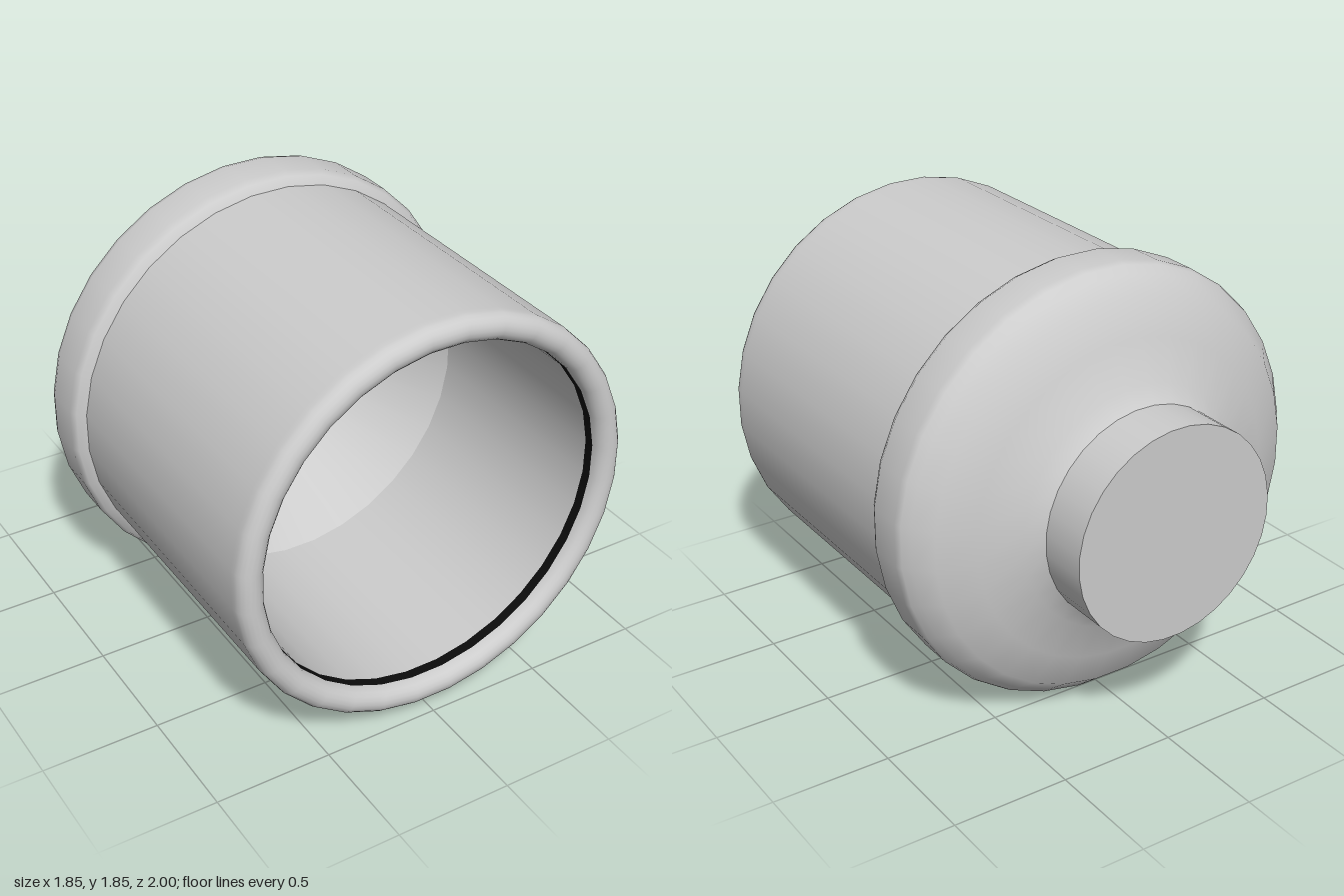
import * as THREE from 'three';

const SEGMENTS = 32;
const CENTRE_Y = 0.925;

export function createModel() {
  const group = new THREE.Group();
  group.name = 'flangedCup';

  const grey = new THREE.MeshStandardMaterial({ color: 0xcccccc });
  grey.name = 'light grey';
  const black = new THREE.MeshStandardMaterial({ color: 0x0c0c0c });
  black.name = 'black';

  // Turn a profile of [radius, z] points, running back to front on outer walls
  const turn = (name, profile, material = grey) => {
    const points = profile.map(([r, z]) => new THREE.Vector2(r, z));
    const geometry = new THREE.LatheGeometry(points, SEGMENTS, Math.PI / SEGMENTS);
    geometry.rotateX(Math.PI / 2);
    const mesh = new THREE.Mesh(geometry, material);
    mesh.name = name;
    mesh.position.y = CENTRE_Y;
    group.add(mesh);
  };

  // Rear neck
  turn('neckEnd', [[0, -1], [0.449, -1]]);
  turn('neckWall', [[0.449, -1], [0.449, -0.78]]);

  // Sloped shoulder running into the rounded flange
  turn('shoulderFlange', [
    [0.449, -0.785], [0.515, -0.73], [0.68, -0.67], [0.83, -0.615],
    [0.89, -0.54], [0.917, -0.51], [0.927, -0.48],
    [0.927, -0.33], [0.912, -0.3], [0.876, -0.28],
  ]);

  // Body wall with a rounded lip rolled over the front
  const body = [[0.876, -0.28], [0.876, 0.92]];
  for (let i = 0; i <= 10; i++) {
    const a = (i / 10) * Math.PI;
    body.push([0.819 + 0.057 * Math.cos(a), 0.942 + 0.058 * Math.sin(a)]);
  }
  turn('bodyAndLip', body);

  // Hollow inside: dark band, straight bore, funnel and floor
  turn('innerBand', [[0.762, 0.942], [0.762, 0.9]], black);
  turn('bore', [[0.762, 0.9], [0.762, -0.05]]);
  turn('funnel', [[0.762, -0.05], [0.449, -0.6]]);
  turn('floor', [[0.449, -0.6], [0, -0.6]]);

  return group;
}
